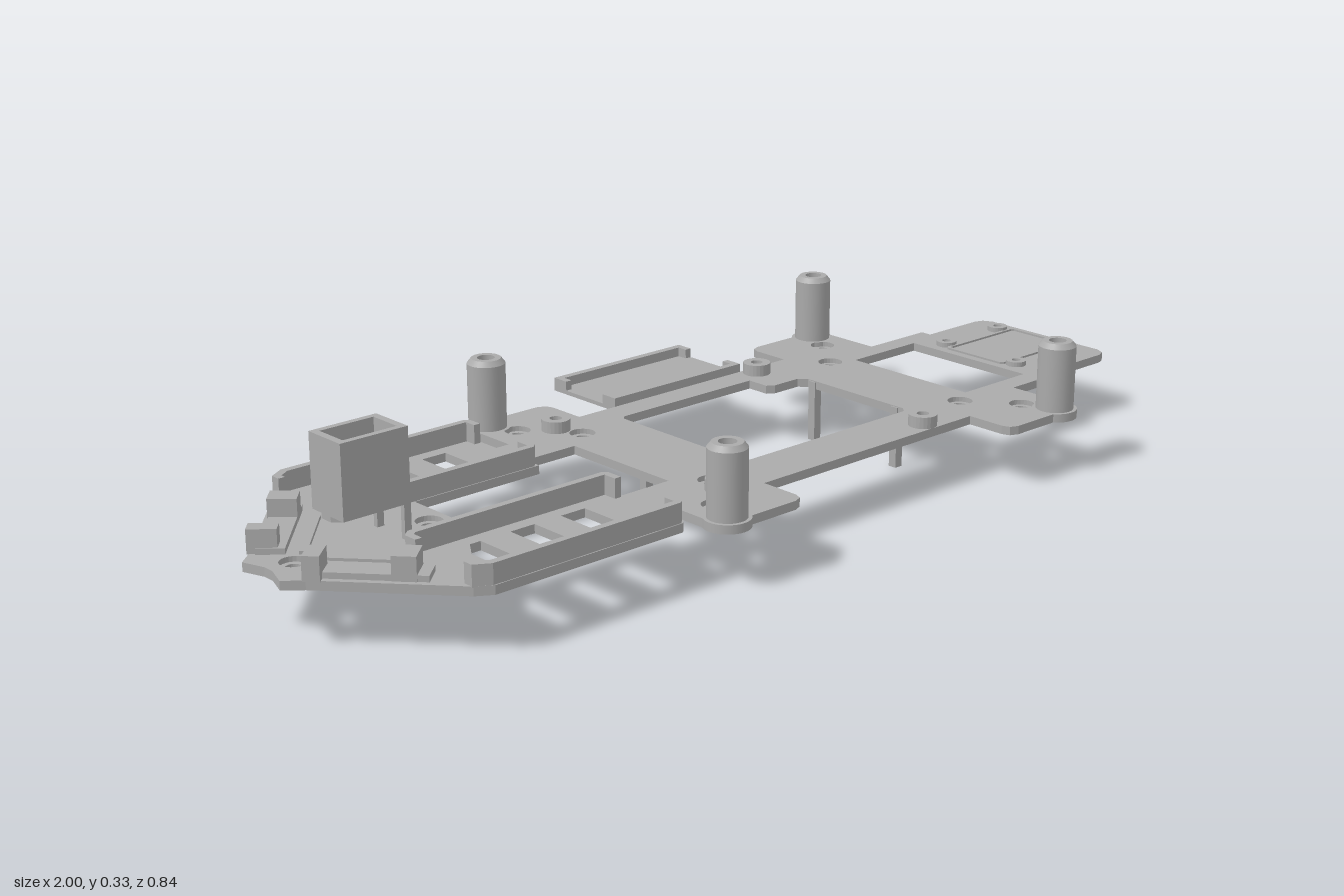
import * as THREE from 'three';

const ZC = 0.041;              // z of the chassis centre line
const BOTTOM = 0.11, TOP = 0.127;

export function createModel() {
  const model = new THREE.Group();
  const grey = new THREE.MeshStandardMaterial({ color: 0xaaaaaa });
  grey.name = 'grey plastic';

  const add = (name, geometry, x = 0, y = 0, z = 0) => {
    const mesh = new THREE.Mesh(geometry, grey);
    mesh.name = name;
    mesh.position.set(x, y, z);
    model.add(mesh);
    return mesh;
  };
  const box = (name, x0, x1, y0, y1, z0, z1) =>
    add(name, new THREE.BoxGeometry(x1 - x0, y1 - y0, z1 - z0), (x0 + x1) / 2, (y0 + y1) / 2, (z0 + z1) / 2);

  // Points are [x, v], where v is the z distance from the centre line
  const vec = (pts) => pts.map(([x, v]) => new THREE.Vector2(x, v + ZC));
  const flip = (pts) => pts.map(([x, v]) => [x, -v]);
  const mirrored = (half) => [...half, ...flip(half).reverse()];
  const rect = (x0, x1, v0, v1) => [[x0, v0], [x1, v0], [x1, v1], [x0, v1]];
  const rounded = (x0, x1, v0, v1, r) => [
    [x0 + r, v0], [x1 - r, v0], [x1, v0 + r], [x1, v1 - r],
    [x1 - r, v1], [x0 + r, v1], [x0, v1 - r], [x0, v0 + r]];
  const circle = (x, v, r) => Array.from({ length: 24 }, (_, i) => {
    const a = (i / 24) * Math.PI * 2;
    return [x + r * Math.cos(a), v + r * Math.sin(a)];
  });
  const slab = (name, outline, y0, y1, holes = []) => {
    const shape = new THREE.Shape(vec(outline));
    shape.holes = holes.map((h) => new THREE.Path(vec(h)));
    const geo = new THREE.ExtrudeGeometry(shape, { depth: y1 - y0, bevelEnabled: false });
    return add(name, geo.rotateX(Math.PI / 2), 0, y1, 0);
  };

  // Base plate outline and its openings
  const outline = mirrored([
    [-0.985, 0.012], [-1, 0.055], [-0.968, 0.082], [-0.785, 0.287], [-0.755, 0.306], [-0.345, 0.306],
    [-0.335, 0.296], [-0.335, 0.222], [-0.305, 0.222], [-0.305, 0.345], [-0.285, 0.36],
    [-0.125, 0.36], [-0.108, 0.353], [-0.102, 0.337], [-0.102, 0.257], [0.46, 0.257], [0.46, 0.337],
    [0.466, 0.353], [0.483, 0.36], [0.64, 0.36], [0.663, 0.338], [0.663, 0.196],
    [0.823, 0.196], [0.823, 0.172], [0.972, 0.172], [0.99, 0.165], [1, 0.145]]);
  const openings = [
    mirrored([[-0.62, 0.092], [-0.338, 0.092], [-0.338, 0.131], [-0.22, 0.131]]),
    [[-0.035, -0.2], [0.305, -0.2], [0.305, -0.152], [0.32, -0.142], [0.385, -0.142], [0.4, -0.127],
      [0.4, 0.135], [0.388, 0.148], [-0.033, 0.148], [-0.045, 0.135], [-0.045, -0.19]],
    rect(0.567, 0.749, -0.152, 0.151),
  ];
  const firstSlot = [[-0.7, 0.173], [-0.675, 0.136], [-0.652, 0.136], [-0.652, 0.264], [-0.7, 0.264]];
  const slots = [firstSlot, rect(-0.588, -0.535, 0.136, 0.264), rect(-0.476, -0.422, 0.136, 0.264)];
  for (const s of slots) openings.push(s, flip(s));

  // Countersunk screw holes: wide in the top layer, narrow below
  const screws = [[-0.936, 0], [-0.658, 0]];
  for (const s of [-1, 1]) {
    screws.push([-0.16, 0.179 * s], [0.519, 0.179 * s], [-0.241, 0.275 * s], [0.594, 0.275 * s]);
  }
  const drilled = (r) => [...openings, ...screws.map(([x, v]) => circle(x, v, r))];
  slab('basePlateLower', outline, BOTTOM, 0.117, drilled(0.015));
  slab('basePlateUpper', outline, 0.117, TOP, drilled(0.025));

  // Turned parts
  const turned = (name, profile, x, v) =>
    add(name, new THREE.LatheGeometry(profile.map((p) => new THREE.Vector2(...p)), 28), x, 0, ZC + v);
  const ring = (name, x, v, r, hole, top) => slab(name, circle(x, v, r), TOP - 0.002, top, [circle(x, v, hole)]);

  for (const s of [-1, 1]) {
    // Corner posts with foot flange and blind screw hole
    for (const x of [-0.267, 0.623]) {
      const v = 0.334 * s;
      add('postFlange', new THREE.CylinderGeometry(0.044, 0.044, TOP - BOTTOM, 28), x, (TOP + BOTTOM) / 2, ZC + v);
      for (const part of [
        [[0.037, TOP], [0.037, 0.255]],
        [[0.037, 0.255], [0.029, 0.265]],
        [[0.029, 0.265], [0.017, 0.265]],
        [[0.017, 0.265], [0.017, 0.2]],
        [[0.017, 0.2], [0, 0.2]],
      ]) turned('cornerPost', part, x, v);
    }
    // Low screw bosses and locating pins below the plate
    for (const x of [-0.184, 0.353]) ring('screwBoss', x, 0.229 * s, 0.028, 0.012, 0.15);
    for (const x of [-0.056, 0.406]) {
      box('locatingPin', x - 0.009, x + 0.009, 0, TOP - 0.002, ZC + 0.113 * s - 0.009, ZC + 0.113 * s + 0.009);
    }
    // Tail bosses
    for (const x of [0.79, 0.957]) ring('tailBoss', x, 0.096 * s, 0.021, 0.009, 0.137);

    // Arm tray walls with hooked ends
    const side = (pts) => (s > 0 ? pts : flip(pts));
    slab('outerTrayWall', side([
      [-0.787, 0.266], [-0.787, 0.286], [-0.757, 0.304], [-0.348, 0.304], [-0.338, 0.296], [-0.338, 0.266],
      [-0.352, 0.266], [-0.352, 0.29], [-0.752, 0.29], [-0.773, 0.277], [-0.773, 0.266]]), TOP - 0.002, 0.165);
    slab('innerTrayWall', side([
      [-0.787, 0.136], [-0.787, 0.108], [-0.772, 0.094], [-0.348, 0.094], [-0.338, 0.103], [-0.338, 0.136],
      [-0.352, 0.136], [-0.352, 0.108], [-0.766, 0.108], [-0.773, 0.114], [-0.773, 0.136]]), TOP - 0.002, 0.165);

    // Nose brackets: diagonal rail with two upright blocks
    const diagonal = (name, x, v, length, depth, height) => {
      const m = add(name, new THREE.BoxGeometry(length, height, depth), x, TOP + height / 2 - 0.001, ZC + v * s);
      m.rotation.y = -s * 0.84;
    };
    diagonal('noseRail', -0.877, 0.13, 0.21, 0.05, 0.012);
    diagonal('noseBlock', -0.945, 0.075, 0.03, 0.052, 0.045);
    diagonal('noseBlock', -0.835, 0.178, 0.042, 0.052, 0.045);
    diagonal('noseRib', -0.85, 0.078, 0.17, 0.014, 0.008);
  }

  // Raised open-topped socket on thin legs above the nose
  const x0 = -0.865, x1 = -0.728, v0 = -0.044, v1 = 0.046;
  slab('socketWalls', rect(x0, x1, v0, v1), 0.19, 0.327, [rect(x0 + 0.014, x1 - 0.014, v0 + 0.012, v1 - 0.012)]);
  slab('socketFloor', rect(x0 + 0.01, x1 - 0.01, v0 + 0.01, v1 - 0.01), 0.19, 0.2);
  for (const v of [v0, v1 - 0.01]) slab('socketLeg', rect(x1 - 0.014, x1, v, v + 0.01), TOP - 0.002, 0.195);

  // Side tray with two hooked rails
  box('sideTrayFloor', 0.005, 0.348, BOTTOM, 0.118, -0.416, -0.215);
  box('sideTrayOuterRail', 0.005, 0.348, BOTTOM, 0.137, -0.42, -0.405);
  box('sideTrayInnerRail', 0.005, 0.348, BOTTOM, 0.137, -0.247, -0.233);
  for (const x of [0.005, 0.334]) {
    box('sideTrayHook', x, x + 0.014, BOTTOM, 0.137, -0.418, -0.383);
    box('sideTrayHook', x, x + 0.014, BOTTOM, 0.137, -0.27, -0.235);
  }

  // Thin frame on the tail
  slab('tailFrame', rounded(0.767, 0.985, -0.078, 0.078, 0.006), TOP - 0.002, 0.131,
    [rounded(0.774, 0.978, -0.071, 0.071, 0.004)]);

  // Upright faces of turned parts are open shells, seen from both sides
  grey.side = THREE.DoubleSide;
  return model;
}
